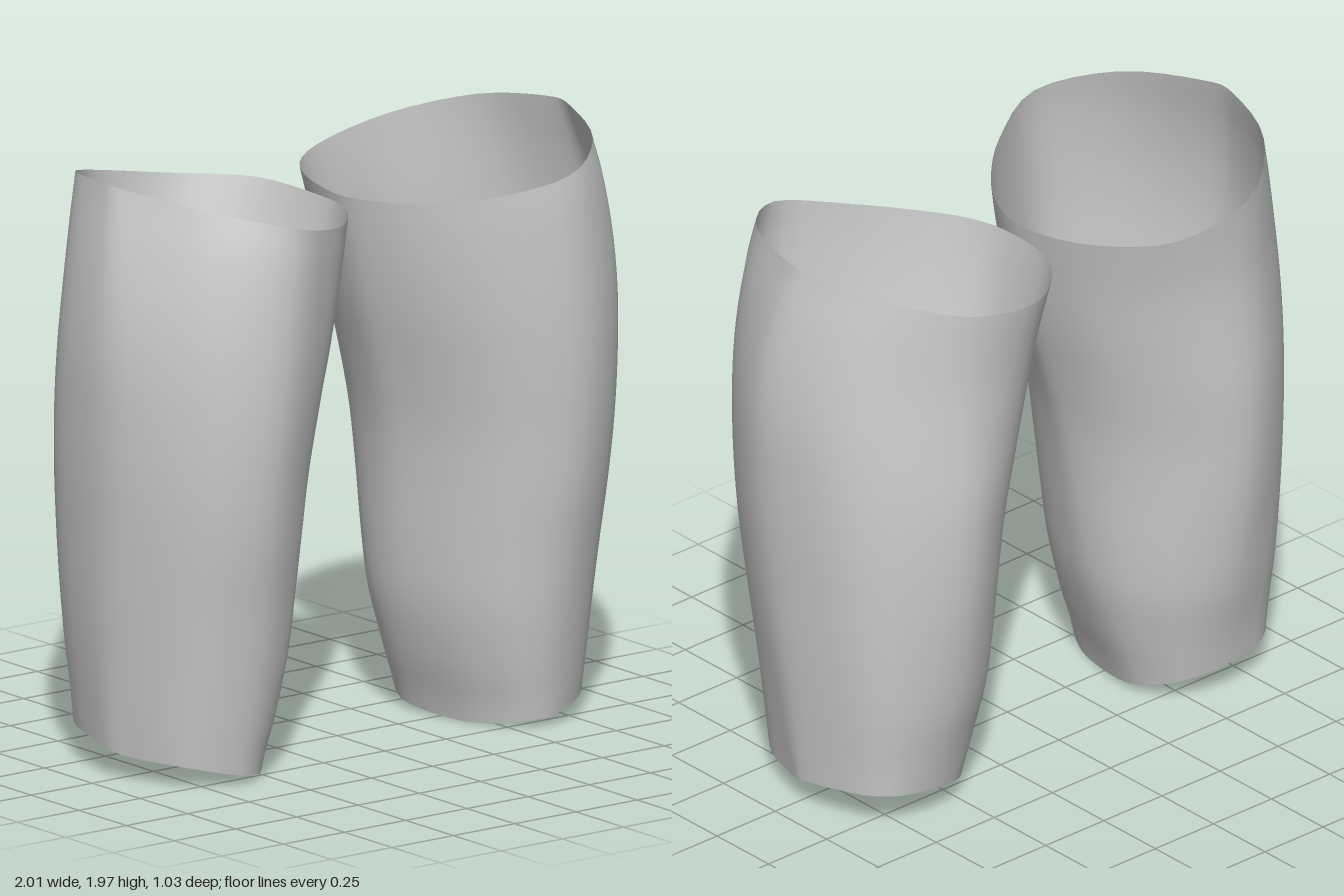
import * as THREE from 'three';

// Extents of one sleeve, sampled every 0.2 units of height from y = 0 to y = 2
const OUTER = [0.895, 0.915, 0.937, 0.957, 0.973, 0.988, 0.997, 1.0, 0.985, 0.95, 0.903];
const INNER = [0.41, 0.345, 0.288, 0.258, 0.236, 0.207, 0.16, 0.105, 0.06, 0.025, 0.0];
const FRONT = [0.31, 0.345, 0.38, 0.413, 0.45, 0.478, 0.5, 0.512, 0.515, 0.51, 0.49];
const BACK = [-0.335, -0.37, -0.42, -0.456, -0.485, -0.503, -0.512, -0.506, -0.5, -0.508, -0.52];

// Rims as [x, y, z], running inner -> front -> outer -> back
const BOTTOM_RIM = [
  [0.396, 0.015, -0.1], [0.43, 0, 0.08], [0.47, 0.005, 0.19], [0.54, 0.02, 0.285],
  [0.655, 0.035, 0.315], [0.81, 0.07, 0.24], [0.89, 0.08, 0.05], [0.91, 0.1, -0.07],
  [0.835, 0.12, -0.31], [0.655, 0.1, -0.363], [0.49, 0.07, -0.32], [0.41, 0.035, -0.21],
];
const TOP_RIM = [
  [0.027, 1.79, -0.06], [0.06, 1.79, 0.11], [0.16, 1.795, 0.26], [0.33, 1.82, 0.41],
  [0.56, 1.875, 0.5], [0.78, 1.93, 0.34], [0.9, 1.965, 0.07], [0.91, 1.97, -0.07],
  [0.82, 1.94, -0.32], [0.6, 1.875, -0.5], [0.3, 1.82, -0.49], [0.09, 1.81, -0.31],
];
// Rounder section at the calf, as fractions of the extents [x, z]
const MID = [
  [-1, -0.1], [-0.92, 0.2], [-0.7, 0.55], [-0.4, 0.82], [0.1, 1], [0.6, 0.8],
  [0.94, 0.35], [1, -0.05], [0.8, -0.6], [0.15, -1], [-0.4, -0.9], [-0.85, -0.53],
];
const MID_T = 0.6;

// Smooth lookup in an extent table
function sample(table, y) {
  const f = THREE.MathUtils.clamp(y / 0.2, 0, 10);
  const i = Math.min(9, Math.floor(f)), u = f - i;
  const a = table[Math.max(0, i - 1)], b = table[i], c = table[i + 1], d = table[Math.min(10, i + 2)];
  return b + 0.5 * u * (c - a + u * (2 * a - 5 * b + 4 * c - d + u * (3 * (b - c) + d - a)));
}

function extents(y) {
  const o = sample(OUTER, y), n = sample(INNER, y), f = sample(FRONT, y), b = sample(BACK, y);
  return { cx: (o + n) / 2, rx: (o - n) / 2, cz: (f + b) / 2, rz: (f - b) / 2 };
}

const loop = (points) => new THREE.CatmullRomCurve3(
  points.map((p) => new THREE.Vector3(...p)), true, 'catmullrom', 0.5);

// Rim point as fractions of the extents at its height
function normalise(p) {
  const e = extents(p.y);
  return new THREE.Vector2((p.x - e.cx) / e.rx, (p.z - e.cz) / e.rz);
}

function sleeveGeometry(side) {
  const SEG = 48, ROWS = 32;
  const bottom = loop(BOTTOM_RIM), top = loop(TOP_RIM);
  const mid = loop(MID.map(([x, z]) => [x, 0, z]));
  const positions = [], index = [];

  for (let r = 0; r <= ROWS; r++) {
    const t = r / ROWS;
    // Quadratic blend through the bottom, mid and top sections
    const wb = (t - MID_T) * (t - 1) / MID_T;
    const wm = t * (t - 1) / (MID_T * (MID_T - 1));
    const wt = t * (t - MID_T) / (1 - MID_T);
    for (let s = 0; s < SEG; s++) {
      const b = bottom.getPoint(s / SEG), m = mid.getPoint(s / SEG), k = top.getPoint(s / SEG);
      const nb = normalise(b), nk = normalise(k);
      const y = THREE.MathUtils.lerp(b.y, k.y, t);
      const e = extents(y);
      const nx = wb * nb.x + wm * m.x + wt * nk.x;
      const nz = wb * nb.y + wm * m.z + wt * nk.y;
      positions.push(side * (e.cx + e.rx * nx), y, e.cz + e.rz * nz);
    }
  }
  for (let r = 0; r < ROWS; r++) {
    for (let s = 0; s < SEG; s++) {
      const a = r * SEG + s, b = r * SEG + (s + 1) % SEG, c = a + SEG, d = b + SEG;
      if (side > 0) index.push(a, b, d, a, d, c);
      else index.push(a, d, b, a, c, d);
    }
  }
  const geometry = new THREE.BufferGeometry();
  geometry.setAttribute('position', new THREE.Float32BufferAttribute(positions, 3));
  geometry.setIndex(index);
  geometry.computeVertexNormals();
  return geometry;
}

export function createModel() {
  const group = new THREE.Group();
  group.name = 'legSleeves';
  const material = new THREE.MeshStandardMaterial({ color: 0xcccccc, side: THREE.DoubleSide });
  // Mirrored pair of open sleeves
  for (const [name, side] of [['leftSleeve', 1], ['rightSleeve', -1]]) {
    const mesh = new THREE.Mesh(sleeveGeometry(side), material);
    mesh.name = name;
    group.add(mesh);
  }
  return group;
}
